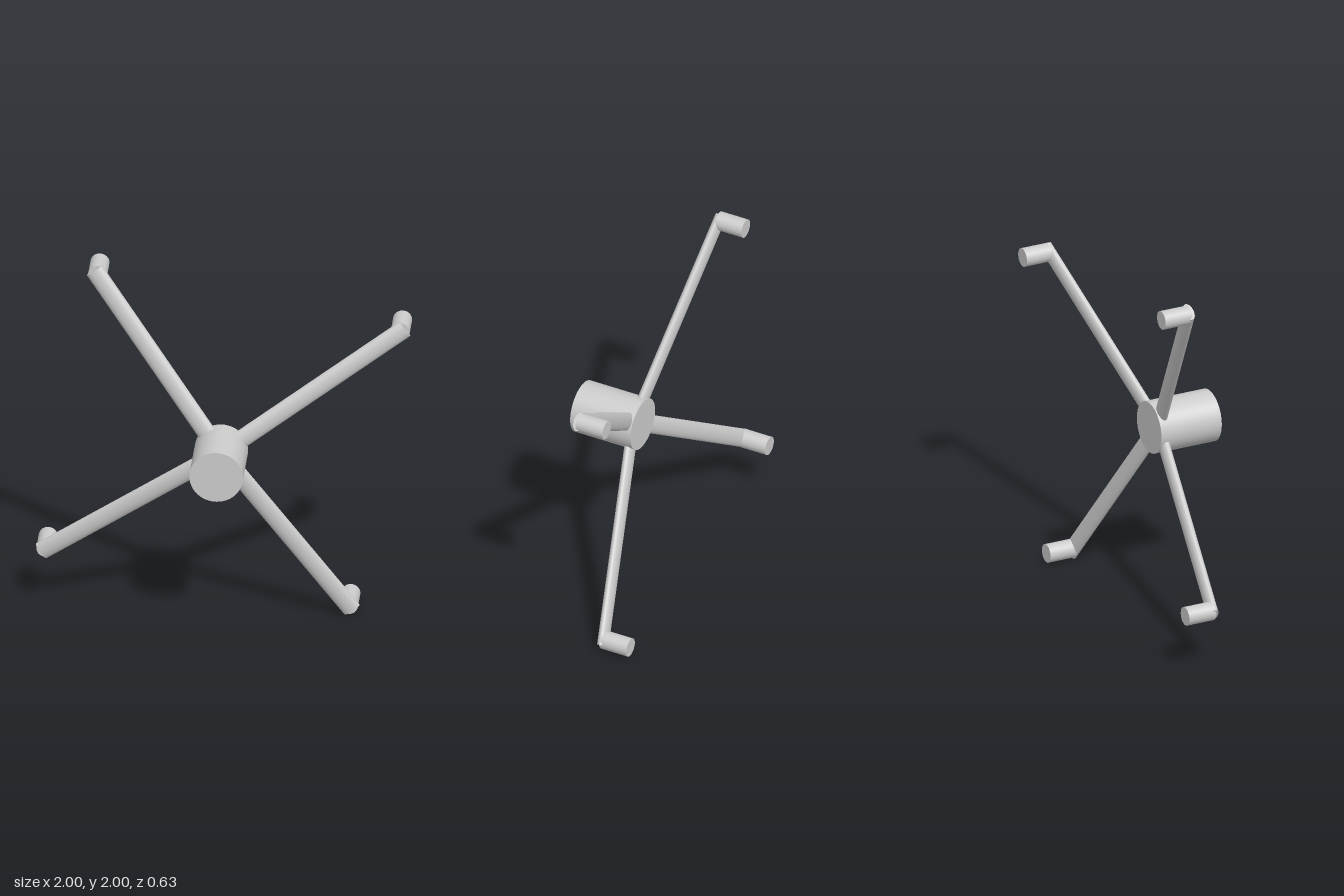
import * as THREE from 'three';

const material = new THREE.MeshStandardMaterial({ color: 0xcccccc });

function addMesh(parent, name, geometry) {
  const mesh = new THREE.Mesh(geometry, material);
  mesh.name = name;
  parent.add(mesh);
  return mesh;
}

// Capped cylinder running along z from z0 to z1
function cylinderZ(radius, z0, z1, segments) {
  return new THREE.CylinderGeometry(radius, radius, z1 - z0, segments)
    .rotateX(Math.PI / 2)
    .translate(0, 0, (z0 + z1) / 2);
}

export function createModel() {
  const model = new THREE.Group();
  model.name = 'spiderBracket';

  const spider = new THREE.Group();
  spider.name = 'spider';
  spider.position.y = 1;
  model.add(spider);

  // Central hub
  addMesh(spider, 'hub', cylinderZ(0.143, -0.045, 0.316, 48));

  // Four flattened arms swept backward, each with a round peg at its tip
  const tilt = Math.atan(0.143);
  const reach = 1.188;
  const length = reach / Math.cos(tilt);
  const armGeometry = new THREE.CylinderGeometry(0.05, 0.05, length, 32)
    .rotateZ(-Math.PI / 2)
    .scale(1, 1, 0.54)
    .translate(length / 2, 0, 0)
    .rotateY(tilt)
    .translate(0, 0, 0.01);
  const pegGeometry = cylinderZ(0.051, -0.316, -0.155, 32).translate(1.158, 0, 0);

  for (let i = 0; i < 4; i++) {
    const arm = new THREE.Group();
    arm.name = `armAssembly${i + 1}`;
    arm.rotation.z = THREE.MathUtils.degToRad(35.3) + (i * Math.PI) / 2;
    spider.add(arm);
    addMesh(arm, 'arm', armGeometry);
    addMesh(arm, 'peg', pegGeometry);
  }
  return model;
}
